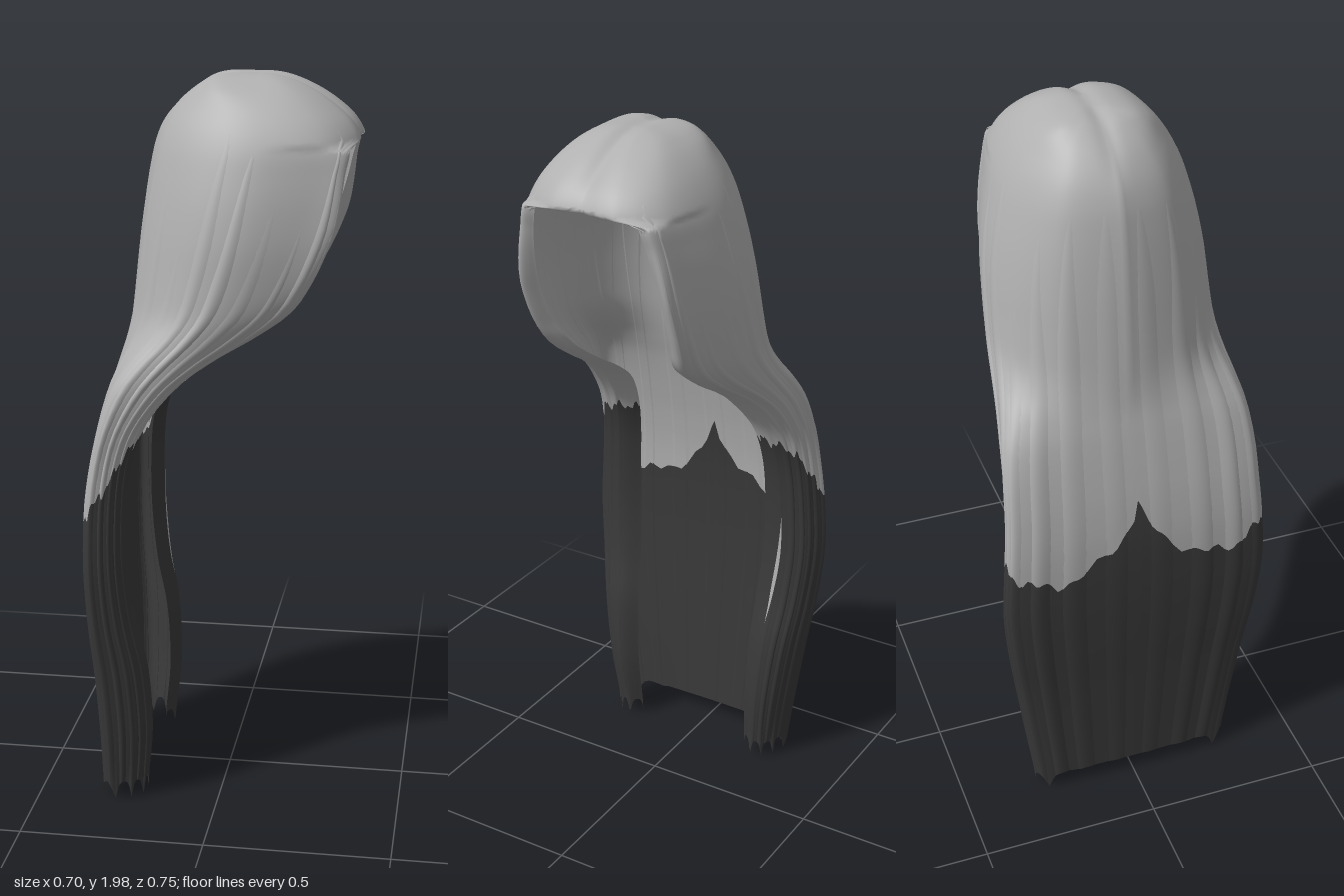
import * as THREE from 'three';

// Rows from crown to tips: height, back x, front x, half width, half opening
const ROWS = [
  [2.0, 0.03, 0.09, 0, 0.1],
  [1.988, -0.04, 0.15, 0.083, 0.12],
  [1.963, -0.088, 0.21, 0.135, 0.13],
  [1.925, -0.135, 0.27, 0.177, 0.14],
  [1.876, -0.172, 0.322, 0.212, 0.145],
  [1.82, -0.197, 0.347, 0.239, 0.15],
  [1.755, -0.213, 0.335, 0.258, 0.165],
  [1.675, -0.227, 0.315, 0.276, 0.178],
  [1.58, -0.24, 0.285, 0.29, 0.184],
  [1.48, -0.251, 0.24, 0.297, 0.176],
  [1.4, -0.259, 0.185, 0.302, 0.152],
  [1.33, -0.266, 0.09, 0.31, 0.138],
  [1.27, -0.275, -0.01, 0.321, 0.14],
  [1.2, -0.292, -0.105, 0.334, 0.155],
  [1.1, -0.315, -0.188, 0.344, 0.185],
  [1.0, -0.335, -0.225, 0.35, 0.2],
  [0.88, -0.35, -0.238, 0.36, 0.208],
  [0.72, -0.354, -0.238, 0.368, 0.208],
  [0.56, -0.35, -0.222, 0.355, 0.2],
  [0.4, -0.342, -0.192, 0.333, 0.192],
  [0.22, -0.335, -0.184, 0.308, 0.186],
  [0.065, -0.33, -0.2, 0.285, 0.18],
];
const LAST = ROWS.length - 1;
const { smoothstep, lerp } = THREE.MathUtils;

// Catmull-Rom interpolation through a list of equal-length arrays
function spline(list, u) {
  const n = list.length - 1;
  const i = Math.min(Math.floor(u), n - 1), f = u - i;
  const a = list[Math.max(i - 1, 0)], b = list[i], c = list[i + 1], d = list[Math.min(i + 2, n)];
  return b.map((_, k) => 0.5 * (2 * b[k] + (c[k] - a[k]) * f
    + (2 * a[k] - 5 * b[k] + 4 * c[k] - d[k]) * f * f
    + (3 * b[k] - a[k] - 3 * c[k] + d[k]) * f * f * f));
}

// Row position for a height
function rowAt(y) {
  let i = 0;
  while (i < LAST - 1 && ROWS[i + 1][0] > y) i++;
  return i + (ROWS[i][0] - y) / (ROWS[i][0] - ROWS[i + 1][0]);
}

// Point on the hair: t runs -1..1 round the head from front edge to front edge
// through the back, v runs down the rows, lift pushes outward
function hairPoint(t, v, lift = 0) {
  let [y, xb, xf, w, o] = spline(ROWS, v);
  const open = smoothstep(1.834 - y, 0, 0.014); // closed above the hairline
  o *= open;
  xb -= lift; xf += lift * 0.5; w = Math.max(w, 0) + lift;
  // round on the head, flat-backed with square corners in the lengths
  const D = xf - xb, round = smoothstep(D, 0.12, 0.45);
  const corner = 0.02 * open * smoothstep(y, 1.6, 1.8);
  const [x, z] = spline([
    [xb, 0], [xb + lerp(0.03, 0.085, round) * D, 0.58 * w],
    [xb + lerp(0.14, 0.31, round) * D, lerp(0.98, 0.92, round) * w],
    [xb + 0.56 * D, lerp(0.975, 1, round) * w],
    [xb + 0.86 * D, lerp(0.9, 0.86, round) * w],
    [xf - corner, o + lerp(0.45, 0.38, open) * (w - o)], [xf - 0.025 * open, o],
  ], Math.abs(t) * 6);
  // shallow parting along the crown
  y -= 0.01 * Math.exp(-((z / 0.025) ** 2)) * smoothstep(y, 1.84, 1.95);
  // ragged tips on the side locks
  const tip = Math.max(0, v - LAST + 1) ** 4 * smoothstep(Math.abs(z), 0.15, 0.2);
  y -= 0.055 * tip * Math.abs(((t * 7 + 40) % 1) * 2 - 1) ** 3;
  return [x, y, z * Math.sign(t)];
}

// Height where the light roots meet the dark ends, peaking at the centre back
const EDGE = [[0.9], [0.8], [0.86], [0.94], [1.03], [1.06], [1.06]];
const edgeRow = t => rowAt(spline(EDGE, Math.abs(t) * 6)[0] + 0.12 * Math.exp(-Math.abs(t) / 0.045)
  + 0.012 * Math.sin(t * 47) + 0.01 * Math.sin(t * 113));

// Grid surface from a point function of (a, b) in 0..1
function grid(cols, rows, fn) {
  const pos = [], index = [];
  for (let j = 0; j <= rows; j++) for (let i = 0; i <= cols; i++) pos.push(...fn(i / cols, j / rows));
  for (let j = 0; j < rows; j++) for (let i = 0; i < cols; i++) {
    const a = j * (cols + 1) + i, b = a + cols + 1;
    index.push(a, a + 1, b, a + 1, b + 1, b);
  }
  const g = new THREE.BufferGeometry();
  g.setAttribute('position', new THREE.Float32BufferAttribute(pos, 3));
  g.setIndex(index);
  g.computeVertexNormals();
  return g;
}

export function createModel() {
  const model = new THREE.Group();
  model.name = 'longHair';
  const light = new THREE.MeshStandardMaterial({ color: 0xb0b0b0, side: THREE.DoubleSide });
  light.name = 'ash grey';
  const dark = new THREE.MeshStandardMaterial({ color: 0x393939, side: THREE.DoubleSide });
  dark.name = 'charcoal';
  const add = (name, geometry, material) => {
    const mesh = new THREE.Mesh(geometry, material);
    mesh.name = name;
    model.add(mesh);
  };

  // Main shell: hood with light roots, then dark lengths
  add('hairRoots', grid(120, 110, (a, b) => {
    const t = a * 2 - 1;
    return hairPoint(t, b * edgeRow(t));
  }), light);
  add('hairEnds', grid(120, 40, (a, b) => {
    const t = a * 2 - 1, e = edgeRow(t);
    return hairPoint(t, e + b * (LAST - e));
  }), dark);

  // Raised strands laid over the shell, tapering toward the crown
  const strand = (side, n) => {
    const t0 = side * (0.06 + n * 0.085), half = 0.03;
    const start = 3 + (n * 5 % 4) * 1.1;
    const lift = 0.003 + (n % 3) * 0.0015;
    const at = (a, v) => {
      const grow = Math.min(1, (v - start) / 5);
      const t = t0 + (a * 2 - 1) * half * (0.15 + 0.85 * grow);
      return [t, lift * Math.sin(Math.PI * a) * grow - 0.001];
    };
    const split = edgeRow(t0);
    const part = (name, v0, v1, mat) => add(name, grid(6, 28, (a, b) => {
      // follow the colour edge across the strand's width
      const e = edgeRow(at(a, split)[0]);
      const from = v0 ?? e, to = v1 ?? e;
      const v = from + b * (to - from);
      const [t, l] = at(a, v);
      return hairPoint(t, v, l);
    }), mat);
    part('strandRoot', start, null, light);
    part('strandEnd', null, LAST, dark);
  };
  for (const side of [-1, 1]) for (let n = 0; n < 10; n++) strand(side, n);

  // Pale streak on the front of the right lock
  const top = rowAt(0.82), bottom = rowAt(0.48);
  add('paleStreak', grid(4, 20, (a, b) => hairPoint(
    lerp(-0.82, -0.85, b) + (a - 0.5) * 0.03 * Math.sin(Math.PI * b),
    lerp(top, bottom, b), 0.008)), light);

  return model;
}
